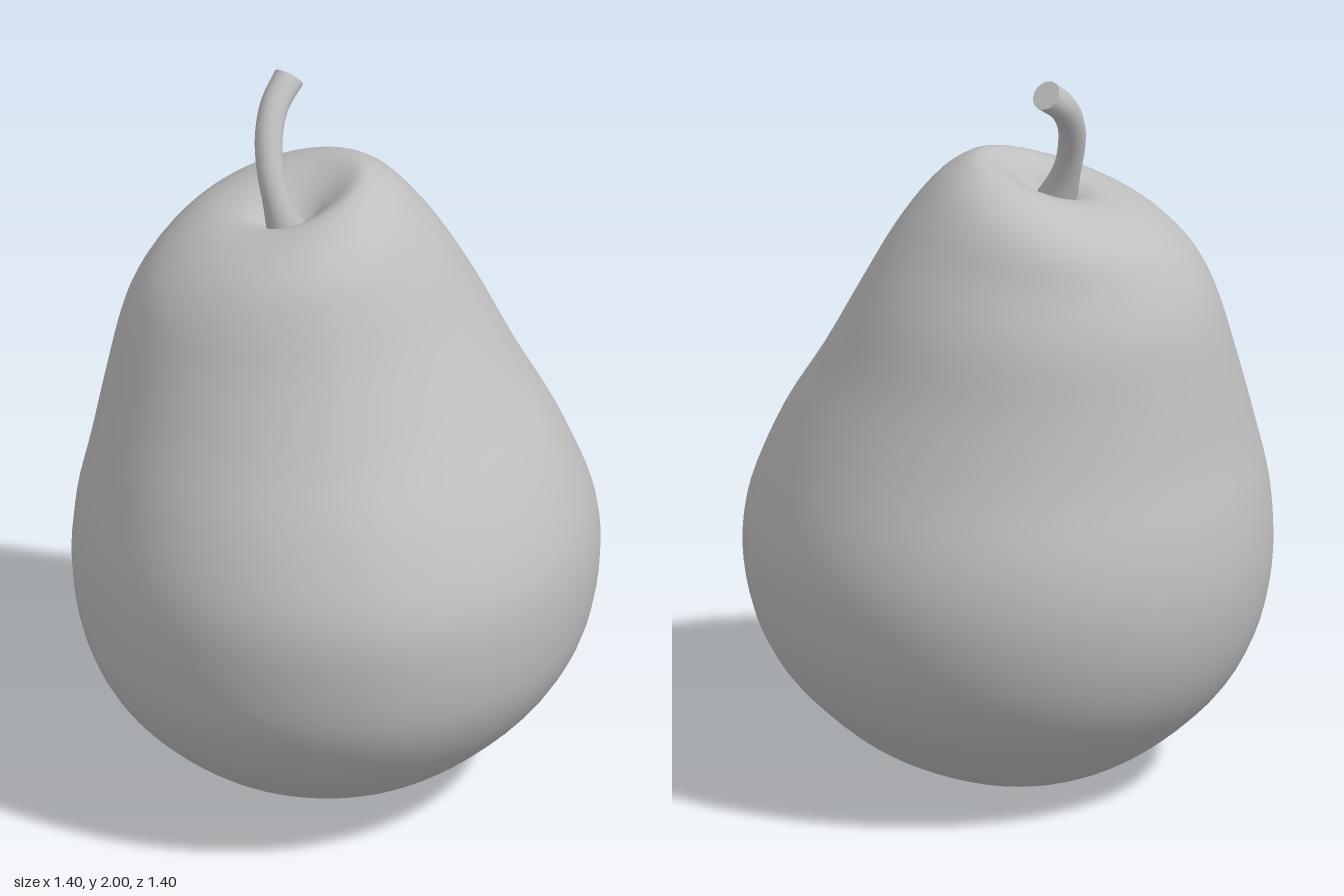
import * as THREE from 'three';

// Body rings from calyx to crown: [left x, left y, right x, right y, front z, back z]
const RINGS = [
  [0.11, 0.1, 0.11, 0.1, -0.03, -0.03],
  [0.06, 0.07, 0.17, 0.105, 0.03, -0.09],
  [0, 0.025, 0.24, 0.075, 0.1, -0.16],
  [-0.13, 0.003, 0.31, 0.09, 0.2, -0.25],
  [-0.3, 0.05, 0.4, 0.13, 0.33, -0.36],
  [-0.45, 0.14, 0.5, 0.21, 0.46, -0.47],
  [-0.59, 0.28, 0.6, 0.32, 0.59, -0.59],
  [-0.67, 0.44, 0.67, 0.46, 0.675, -0.665],
  [-0.7, 0.62, 0.7, 0.64, 0.703, -0.698],
  [-0.69, 0.8, 0.68, 0.8, 0.69, -0.68],
  [-0.65, 0.98, 0.6, 1.0, 0.6, -0.615],
  [-0.605, 1.16, 0.495, 1.19, 0.475, -0.565],
  [-0.555, 1.34, 0.4, 1.38, 0.37, -0.525],
  [-0.5, 1.46, 0.31, 1.54, 0.305, -0.465],
  [-0.42, 1.55, 0.23, 1.65, 0.25, -0.42],
  [-0.33, 1.61, 0.16, 1.72, 0.17, -0.35],
  [-0.25, 1.635, 0.08, 1.755, 0.08, -0.25],
  [-0.2, 1.63, 0, 1.7, 0.02, -0.15],
  [-0.16, 1.612, -0.06, 1.64, -0.01, -0.09],
  [-0.11, 1.61, -0.11, 1.61, -0.04, -0.04],
];

// Smooth loft through the tilted rings
function bodyGeometry(rows = 76, sides = 64) {
  const spline = (from) => new THREE.CatmullRomCurve3(
    RINGS.map((r) => new THREE.Vector3(...r.slice(from, from + 3))), false, 'catmullrom', 0.5);
  const first = spline(0), second = spline(3);
  const positions = [], index = [];
  for (let i = 0; i <= rows; i++) {
    const t = i / rows;
    const { x: xl, y: yl, z: xr } = first.getPoint(t);
    const { x: yr, y: zf, z: zb } = second.getPoint(t);
    // Puckered skin fades out away from the calyx
    const ring = t * (RINGS.length - 1);
    const pucker = 0.014 * Math.sin(Math.PI * Math.min(ring / 2.6, 1));
    // The belly is slightly flattened towards the front left
    const flat = 0.04 * Math.sin(Math.PI * t);
    for (let j = 0; j < sides; j++) {
      const a = (j / sides) * Math.PI * 2;
      const c = Math.cos(a), s = Math.sin(a);
      const k = 1 - flat * Math.max(0, Math.cos(a - Math.PI / 4)) * Math.max(0, Math.sin(2 * a));
      positions.push(
        (xl + xr) / 2 + ((xr - xl) / 2) * c * k,
        (yl + yr) / 2 + ((yr - yl) / 2) * c + pucker * (Math.sin(5 * a) + 0.5 * Math.sin(8 * a + 1)),
        (zf + zb) / 2 + ((zf - zb) / 2) * s * k);
      if (i < rows) {
        const n = (j + 1) % sides, p = i * sides, q = p + sides;
        index.push(p + j, q + j, q + n, p + j, q + n, p + n);
      }
    }
  }
  const g = new THREE.BufferGeometry();
  g.setAttribute('position', new THREE.Float32BufferAttribute(positions, 3));
  g.setIndex(index);
  g.computeVertexNormals();
  return g;
}

// Bent stem, flared at the foot and the tip
function stemGeometry(curve, radiusAt, rows = 28, sides = 16) {
  const g = new THREE.TubeGeometry(curve, rows, 1, sides, false);
  const pos = g.attributes.position, v = new THREE.Vector3();
  for (let i = 0; i <= rows; i++) {
    const u = i / rows, centre = curve.getPointAt(u);
    for (let j = 0; j <= sides; j++) {
      const n = i * (sides + 1) + j;
      v.fromBufferAttribute(pos, n).sub(centre).multiplyScalar(radiusAt(u)).add(centre);
      pos.setXYZ(n, v.x, v.y, v.z);
    }
  }
  return g;
}

export function createModel() {
  const model = new THREE.Group();
  model.name = 'pear';
  const grey = new THREE.MeshStandardMaterial({ color: 0xbfbfbf });
  grey.name = 'plain grey';
  const add = (name, geometry) => {
    const mesh = new THREE.Mesh(geometry, grey);
    mesh.name = name;
    model.add(mesh);
    return mesh;
  };

  add('body', bodyGeometry());

  const path = new THREE.CatmullRomCurve3([
    [-0.12, 1.59, -0.035], [-0.145, 1.67, -0.05], [-0.162, 1.76, -0.08],
    [-0.16, 1.85, -0.125], [-0.135, 1.92, -0.172], [-0.088, 1.973, -0.217],
  ].map((p) => new THREE.Vector3(...p)));
  const radius = (u) => 0.036 + 0.028 * Math.max(0, 1 - u / 0.35) ** 2 + 0.005 * u ** 4;
  add('stem', stemGeometry(path, radius));

  // Cut end of the stem
  const tip = add('stemTip', new THREE.CircleGeometry(radius(1), 16));
  tip.position.copy(path.getPointAt(1));
  tip.lookAt(tip.position.clone().add(path.getTangentAt(1)));
  return model;
}
